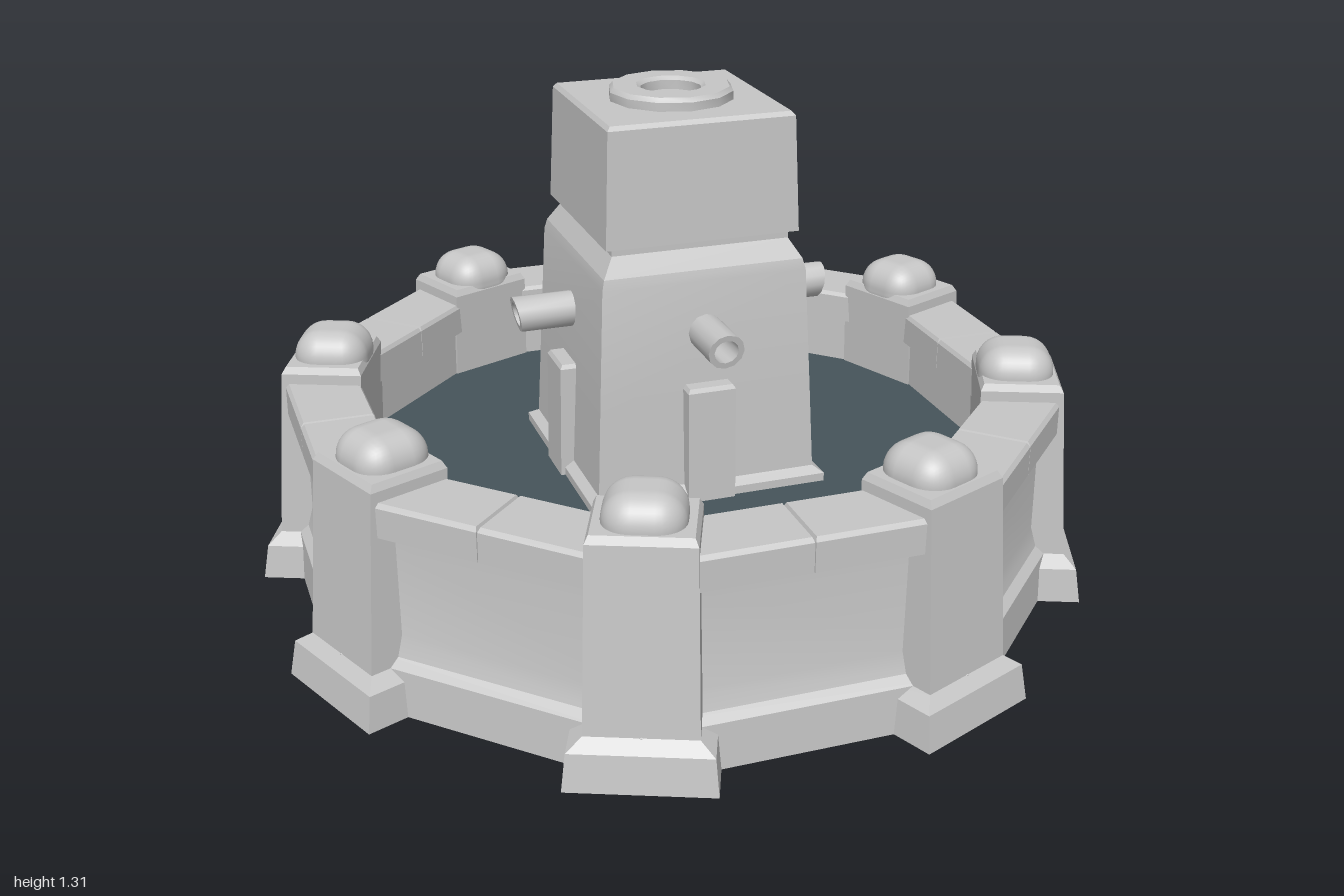
import * as THREE from 'three';
import { toCreasedNormals } from 'three/addons/utils/BufferGeometryUtils.js';
import { RoundedBoxGeometry } from 'three/addons/geometries/RoundedBoxGeometry.js';

const stone = new THREE.MeshStandardMaterial({ color: 0xc6c6c6, side: THREE.DoubleSide });
stone.name = 'stone';
const water = new THREE.MeshStandardMaterial({ color: 0x46545a });
water.name = 'water';

const OCT = 1 / Math.cos(Math.PI / 8); // apothem to corner radius

function mesh(name, geometry, material = stone) {
  const m = new THREE.Mesh(geometry, material);
  m.name = name;
  return m;
}

// Stack of rectangles [y, x0, x1, z0, z1], closed on top, optionally closed below
function loft(sections, closedBelow = false) {
  const pos = [], idx = [];
  for (const [y, x0, x1, z0, z1] of sections) {
    pos.push(x0, y, z1, x1, y, z1, x1, y, z0, x0, y, z0);
  }
  for (let s = 0; s < sections.length - 1; s++) {
    for (let i = 0; i < 4; i++) {
      const a = s * 4 + i, b = s * 4 + (i + 1) % 4;
      idx.push(a, b, b + 4, a, b + 4, a + 4);
    }
  }
  const t = (sections.length - 1) * 4;
  idx.push(t, t + 1, t + 2, t, t + 2, t + 3);
  if (closedBelow) idx.push(0, 2, 1, 0, 3, 2);
  const g = new THREE.BufferGeometry();
  g.setAttribute('position', new THREE.Float32BufferAttribute(pos, 3));
  g.setIndex(idx);
  return toCreasedNormals(g, 0.25);
}

function lathe(points, sides, start = 0, crease = 0.6) {
  const pts = points.map(([r, y]) => new THREE.Vector2(r, y));
  return toCreasedNormals(new THREE.LatheGeometry(pts, sides, start), crease);
}

export function createModel() {
  const model = new THREE.Group();
  model.name = 'fountain';

  // Octagonal basin wall with flared foot, hollow underneath
  const wall = [[0.905, 0.07], [0.9, 0.18], [0.88, 0.2], [0.867, 0.25], [0.865, 0.52], [0.745, 0.52], [0.745, 0.29]];
  model.add(mesh('basinWall', lathe(wall.map(([a, y]) => [a * OCT, y]), 8, Math.PI / 8, 0.5)));

  // Basin floor and water surface
  const floor = mesh('basinFloor', new THREE.CircleGeometry(0.866 * OCT, 8, Math.PI / 8));
  floor.rotation.x = Math.PI / 2;
  floor.position.y = 0.29;
  const surface = mesh('waterSurface', new THREE.CircleGeometry(0.745 * OCT, 8, Math.PI / 8), water);
  surface.rotation.x = -Math.PI / 2;
  surface.position.y = 0.38;
  model.add(floor, surface);

  // Shared pieces, built facing +z
  const pillarShape = loft([
    [0.07, -0.163, 0.163, 0.8, 1.013],
    [0.155, -0.155, 0.155, 0.8, 1.0],
    [0.18, -0.122, 0.122, 0.76, 0.972],
    [0.605, -0.115, 0.115, 0.745, 0.94],
    [0.622, -0.107, 0.107, 0.753, 0.93],
  ]);
  const knobShape = new RoundedBoxGeometry(0.18, 0.14, 0.18, 4, 0.065);
  const capShape = (x0, x1) => loft([
    [0.5, x0, x1, 0.73, 0.905],
    [0.57, x0, x1, 0.73, 0.905],
    [0.58, x0 + 0.004, x1 - 0.004, 0.736, 0.897],
  ], true);
  const capShapes = [capShape(0.001, 0.27), capShape(-0.27, -0.001)];

  for (let k = 0; k < 8; k++) {
    // Coping stones, two per side
    const side = new THREE.Group();
    side.name = 'copingSide';
    side.rotation.y = k * Math.PI / 4;
    for (const g of capShapes) side.add(mesh('copingStone', g));

    // Corner pillar with a rounded knob
    const pillar = new THREE.Group();
    pillar.name = 'pillar';
    pillar.rotation.y = (k + 0.5) * Math.PI / 4;
    const knob = mesh('pillarKnob', knobShape);
    knob.position.set(0, 0.62, 0.835);
    pillar.add(mesh('pillarShaft', pillarShape), knob);
    model.add(side, pillar);
  }

  // Central square tower: plinth, tapered shaft, neck and head
  const profile = [
    [0, 0.29], [0.4, 0.29], [0.415, 0.268], [0.6, 0.26], [0.91, 0.246], [0.935, 0.24],
    [0.98, 0.213], [0.995, 0.213], [1.0, 0.232], [1.27, 0.222], [1.28, 0.214],
  ];
  model.add(mesh('tower', loft(profile.map(([y, h]) => [y, -h, h, -h, h]))));

  // Round ring on the tower top
  model.add(mesh('topRing', lathe(
    [[0.147, 1.275], [0.147, 1.3], [0.138, 1.31], [0.082, 1.31], [0.072, 1.302], [0.072, 1.275]], 12)));

  // Spout pipe with a slanted mouth
  const spoutShape = new THREE.LatheGeometry(
    [[0.043, 0.2], [0.043, 0.385], [0.029, 0.385], [0.029, 0.25], [0, 0.25]].map(([r, y]) => new THREE.Vector2(r, y)), 12);
  spoutShape.rotateX(Math.PI / 2);
  const p = spoutShape.attributes.position;
  for (let i = 0; i < p.count; i++) {
    if (p.getZ(i) > 0.3) p.setZ(i, p.getZ(i) + p.getY(i) * 0.2);
  }
  const spoutGeometry = toCreasedNormals(spoutShape, 0.7);
  const buttressShape = loft([
    [0.09, -0.058, 0.058, 0.2, 0.305],
    [0.655, -0.058, 0.058, 0.2, 0.296],
    [0.665, -0.052, 0.052, 0.2, 0.29],
  ], true);

  // One spout and one buttress on each tower face
  for (let k = 0; k < 4; k++) {
    const face = new THREE.Group();
    face.name = 'towerFace';
    face.rotation.y = k * Math.PI / 2;
    const spout = mesh('spout', spoutGeometry);
    spout.position.y = 0.787;
    face.add(spout, mesh('buttress', buttressShape));
    model.add(face);
  }
  return model;
}
